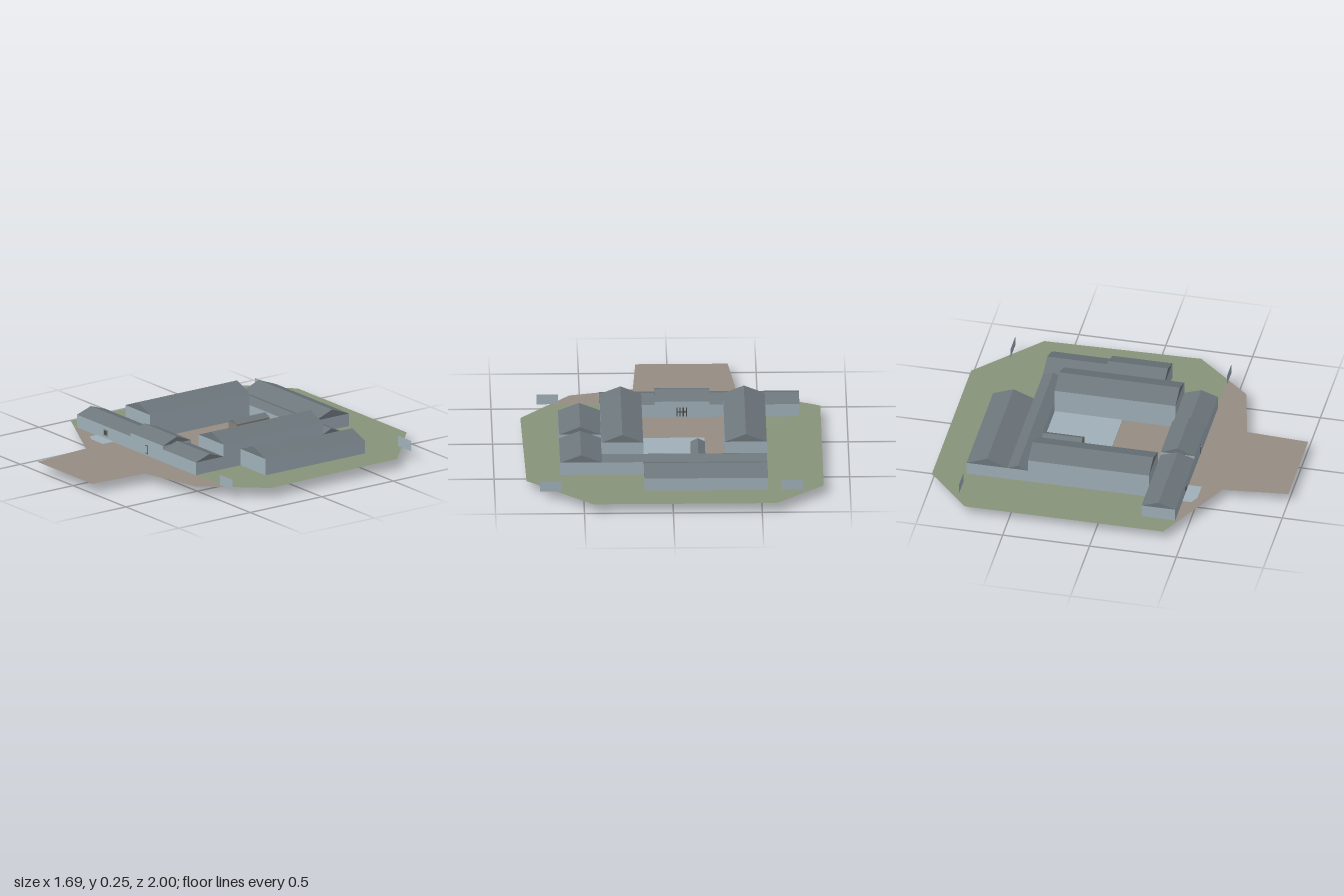
import * as THREE from 'three';

const mat = (name, color, side = THREE.FrontSide) => {
  const m = new THREE.MeshStandardMaterial({ color, side });
  m.name = name;
  return m;
};

export function createModel() {
  const model = new THREE.Group();
  model.name = 'courtyardCompound';
  const wall = mat('wall grey', 0xa0b0b9);
  const plate = mat('plate grey', 0xa0b0b9, THREE.DoubleSide);
  const roof = mat('roof slate', 0x6d777c);
  const grass = mat('grass green', 0x88947a, THREE.DoubleSide);
  const earth = mat('earth brown', 0x968d84, THREE.DoubleSide);
  const timber = mat('timber brown', 0x8a7f74);
  const dark = mat('dark frame', 0x4a4842);

  const add = (parent, name, geometry, material) => {
    const mesh = new THREE.Mesh(geometry, material);
    mesh.name = name;
    parent.add(mesh);
    return mesh;
  };

  // Box given by its limits on each axis
  const block = (parent, name, [x0, x1], [y0, y1], [z0, z1], material) => {
    const m = add(parent, name, new THREE.BoxGeometry(x1 - x0, y1 - y0, z1 - z0), material);
    m.position.set((x0 + x1) / 2, (y0 + y1) / 2, (z0 + z1) / 2);
    return m;
  };

  // Flat sheet from [x, z] points
  const sheet = (name, points, y, material, hole) => {
    const toVec = ([x, z]) => new THREE.Vector2(x, -z);
    const shape = new THREE.Shape(points.map(toVec));
    if (hole) shape.holes.push(new THREE.Path(hole.map(toVec)));
    const g = new THREE.ShapeGeometry(shape);
    g.rotateX(-Math.PI / 2);
    add(model, name, g, material).position.y = y;
  };

  // Hall with a solid gabled roof; its ridge runs along the named axis
  const hall = (name, xs, zs, base, eave, ridge, axis, body = wall) => {
    const group = new THREE.Group();
    group.name = name;
    block(group, 'walls', xs, [base, eave], zs, body);
    const [w, l] = axis === 'z' ? [xs[1] - xs[0], zs[1] - zs[0]] : [zs[1] - zs[0], xs[1] - xs[0]];
    const gable = new THREE.Shape();
    gable.moveTo(-w / 2, 0);
    gable.lineTo(w / 2, 0);
    gable.lineTo(0, ridge - eave);
    const g = new THREE.ExtrudeGeometry(gable, { depth: l, bevelEnabled: false });
    g.translate(0, 0, -l / 2);
    if (axis === 'x') g.rotateY(Math.PI / 2);
    add(group, 'roof', g, roof).position.set((xs[0] + xs[1]) / 2, eave, (zs[0] + zs[1]) / 2);
    model.add(group);
  };

  // Ground: lawn with an open court, forecourt with entrance path
  const court = [[-0.3, -0.455], [0.16, -0.455], [0.16, 0.24], [-0.3, 0.24]];
  sheet('lawn', [[-0.58, -1], [0.45, -1], [0.82, -0.66], [0.84, 0.24], [0.674, 0.43],
    [-0.77, 0.43], [-0.85, 0.39], [-0.85, -0.75]], 0.056, grass, court);
  sheet('courtyard', court, 0.056, earth);
  sheet('forecourt', [[-0.77, 0.43], [0.674, 0.43], [0.56, 0.56], [0.2, 0.645],
    [0.18, 1], [-0.34, 1], [-0.38, 0.63]], 0.055, earth);
  sheet('sidePaving', [[-0.54, 0.43], [-0.38, 0.43], [-0.38, 0.51], [-0.49, 0.51], [-0.54, 0.485]], 0.059, plate);

  // Sunken platform and the small lodge standing on it
  block(model, 'platform', [-0.19, 0.16], [0.002, 0.06], [-0.455, -0.065], wall);
  hall('lodge', [-0.19, -0.11], [-0.46, -0.225], 0, 0.105, 0.125, 'z', timber);

  // Halls around the court
  const b = 0.047;
  hall('rearHall', [-0.535, 0.16], [-0.81, -0.575], b, 0.13, 0.175, 'x');
  hall('rearGallery', [-0.535, 0.393], [-0.575, -0.455], b, 0.13, 0.155, 'x');
  for (const [name, x] of [['rightWing', -0.535], ['leftWing', 0.16]])
    hall(name, [x, x + 0.235], [-0.455, 0.24], b, 0.2, 0.246, 'z');
  hall('sideHallRear', [0.393, 0.63], [-0.575, -0.225], b, 0.13, 0.175, 'z');
  hall('sideHallFront', [0.393, 0.63], [-0.225, 0.12], b, 0.152, 0.198, 'z');
  hall('frontRangeRight', [-0.73, -0.225], [0.24, 0.434], b, 0.13, 0.163, 'x');
  hall('gatehouse', [-0.225, 0.085], [0.24, 0.434], b, 0.15, 0.188, 'x');
  hall('frontRangeLeft', [0.085, 0.395], [0.24, 0.434], b, 0.13, 0.163, 'x');

  // Gate door and window on the street front
  block(model, 'gateFrame', [-0.083, -0.057], [0.066, 0.115], [0.432, 0.436], dark);
  block(model, 'gateDoor', [-0.079, -0.061], [0.07, 0.111], [0.433, 0.438], wall);
  block(model, 'streetWindow', [-0.477, -0.442], [0.073, 0.11], [0.432, 0.436], timber);
  block(model, 'windowPane', [-0.47, -0.449], [0.08, 0.103], [0.433, 0.438], dark);

  // Lattice door of the gatehouse, facing the court
  for (let i = 0; i < 4; i++) {
    const x = -0.098 + i * 0.018;
    block(model, 'latticePost', [x, x + 0.006], [0.06, 0.115], [0.236, 0.242], dark);
  }
  block(model, 'latticeRail', [-0.098, -0.038], [0.085, 0.091], [0.236, 0.242], dark);

  // Upright boundary plates at three corners
  for (const [x, z] of [[-0.67, -0.81], [0.685, -0.81], [0.685, 0.435]])
    add(model, 'boundaryPlate', new THREE.PlaneGeometry(0.122, 0.06), plate).position.set(x, 0.086, z);

  return model;
}
